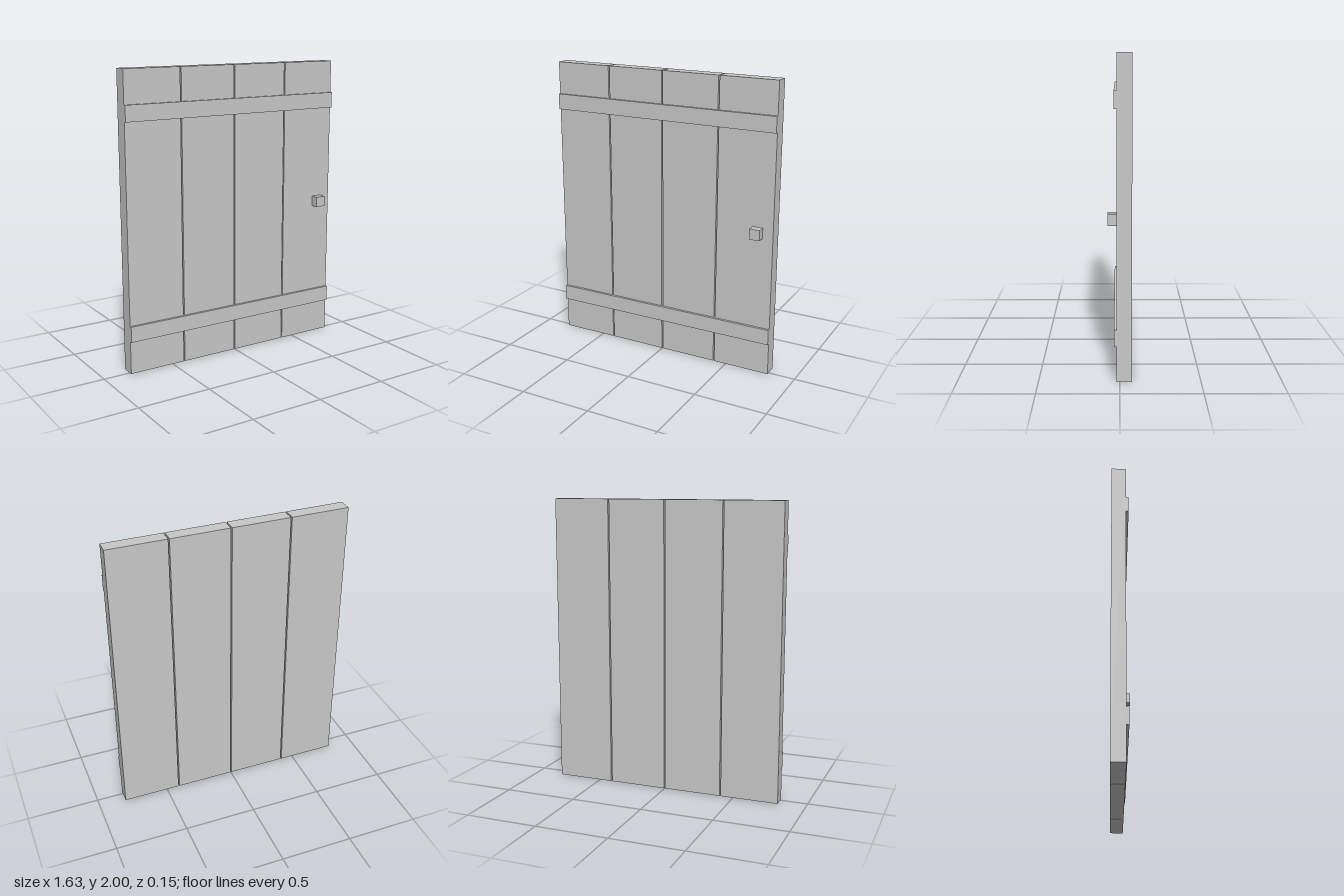
import * as THREE from 'three';

const grey = new THREE.MeshStandardMaterial({ color: 0xc8c8c8 });
grey.name = 'light grey';

// Box given by its centre and size
function box(name, [w, h, d], [x, y, z]) {
  const mesh = new THREE.Mesh(new THREE.BoxGeometry(w, h, d), grey);
  mesh.name = name;
  mesh.position.set(x, y, z);
  return mesh;
}

export function createModel() {
  const door = new THREE.Group();
  door.name = 'plankDoor';

  // Four upright planks with narrow open gaps between them
  const count = 4, plankWidth = 0.4, pitch = 0.4085;
  const fullWidth = pitch * (count - 1) + plankWidth;
  for (let i = 0; i < count; i++) {
    const x = (i - (count - 1) / 2) * pitch;
    door.add(box(`plank${i + 1}`, [plankWidth, 2, 0.093], [x, 1, -0.0275]));
  }

  // Cross battens, half sunk into the front of the planks
  door.add(box('lowerBatten', [fullWidth, 0.107, 0.037], [0, 0.278, 0.0175]));
  door.add(box('upperBatten', [fullWidth, 0.107, 0.037], [0, 1.725, 0.0175]));

  // Square knob on the door's left edge
  door.add(box('knob', [0.072, 0.072, 0.072], [0.704, 1, 0.038]));

  return door;
}
